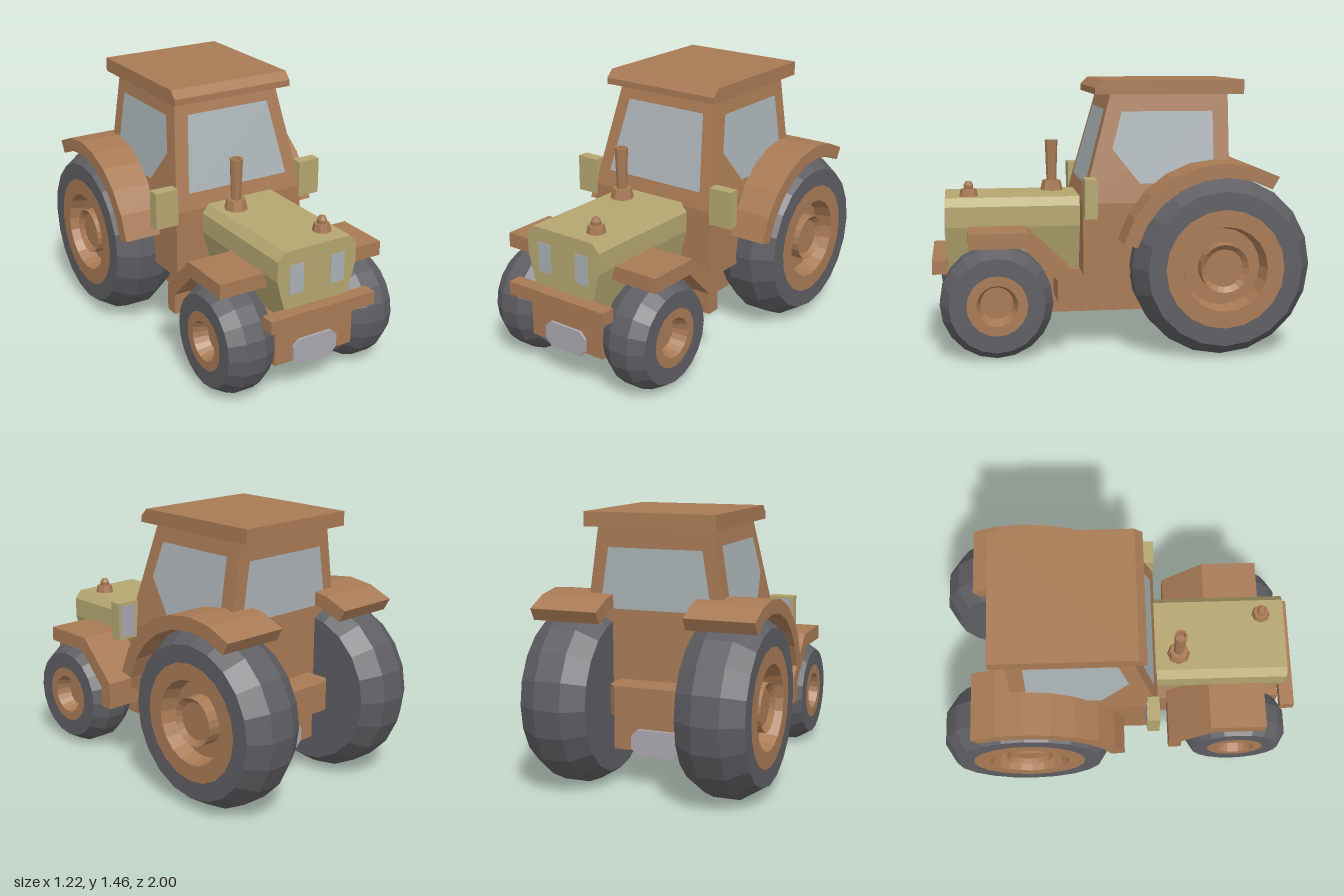
import * as THREE from 'three';
import { ConvexGeometry } from 'three/addons/geometries/ConvexGeometry.js';

const mat = (color, side = THREE.FrontSide) =>
  new THREE.MeshStandardMaterial({ color, side, flatShading: true });
const BROWN = mat(0xa87a55), OLIVE = mat(0xb4a670), TYRE = mat(0x5e5e63);
const METAL = mat(0xa9a7ae), GLASS = mat(0xa9b1b4, THREE.DoubleSide);

export function createModel() {
  const model = new THREE.Group();

  const add = (name, geometry, material) => {
    const mesh = new THREE.Mesh(geometry, material);
    mesh.name = name;
    model.add(mesh);
    return mesh;
  };
  const box = (name, x0, x1, y0, y1, z0, z1, material) =>
    add(name, new THREE.BoxGeometry(x1 - x0, y1 - y0, z1 - z0)
      .translate((x0 + x1) / 2, (y0 + y1) / 2, (z0 + z1) / 2), material);
  const shape = pts => new THREE.Shape(pts.map(p => new THREE.Vector2(p[0], p[1])));
  const extrude = (pts, depth) =>
    new THREE.ExtrudeGeometry(shape(pts), { depth, bevelEnabled: false });
  // side profile of [z, y] points running from x0 to x1
  const sidePrism = (name, pts, x0, x1, material) =>
    add(name, extrude(pts, x1 - x0).rotateY(-Math.PI / 2).translate(x1, 0, 0), material);
  // front profile of [x, y] points running from z0 to z1
  const frontPrism = (name, pts, z0, z1, material) =>
    add(name, extrude(pts, z1 - z0).translate(0, 0, z0), material);
  // flat sheet through a convex loop of [x, y, z] corners
  const sheet = (name, corners, material) => {
    const pos = [];
    for (let i = 1; i < corners.length - 1; i++) pos.push(...corners[0], ...corners[i], ...corners[i + 1]);
    const g = new THREE.BufferGeometry();
    g.setAttribute('position', new THREE.Float32BufferAttribute(pos, 3));
    g.computeVertexNormals();
    return add(name, g, material);
  };
  const turned = (pts, sides) =>
    new THREE.LatheGeometry(pts.map(p => new THREE.Vector2(p[0], p[1])), sides);
  const mirrorX = pts => [...pts, ...pts.map(([x, y]) => [-x, y]).reverse()];

  // chassis and bonnet
  box('chassis', -0.24, 0.24, 0.195, 0.43, -0.585, 0.92, BROWN);
  frontPrism('bonnet', mirrorX([[0.175, 0.43], [0.24, 0.67], [0.24, 0.78], [0.2, 0.825]]), 0.19, 0.928, OLIVE);
  box('frontBumper', -0.32, 0.32, 0.435, 0.507, 0.92, 1, BROWN);

  // number plates, front and rear
  const plate = mirrorX([[0.1, 0.175], [0.135, 0.21], [0.135, 0.28], [0.1, 0.315]]);
  frontPrism('frontPlate', plate, 0.91, 0.935, METAL);
  frontPrism('rearPlate', plate, -0.605, -0.58, METAL);

  // rear hitch block with bevelled corners
  const hitch = extrude([[-0.2, 0.58], [0.2, 0.58], [0.2, 0.71], [0.16, 0.75], [-0.16, 0.75], [-0.2, 0.71]], 0.16);
  add('rearHitch', hitch.rotateX(-Math.PI / 2).translate(0, 0.42, 0)
    .applyMatrix4(new THREE.Matrix4().makeRotationY(Math.PI))
    .rotateY(Math.PI), BROWN);

  // cabin: upright lower walls, tapering upper part
  const BREAK = 0.81, TOP = 1.38, BACK = -0.585;
  const cabX = y => 0.4 - 0.083 * Math.max(0, (y - BREAK) / (TOP - BREAK));
  const cabZ = y => 0.205 - 0.155 * Math.max(0, (y - BREAK) / (TOP - BREAK));
  const cabPoints = [];
  for (const y of [0.43, BREAK, TOP + 0.01])
    for (const s of [-1, 1])
      for (const z of [BACK, cabZ(y)]) cabPoints.push(new THREE.Vector3(s * cabX(y), y, z));
  add('cabin', new ConvexGeometry(cabPoints), BROWN);
  sidePrism('roof', [[-0.665, 1.38], [0.135, 1.38], [0.135, 1.415], [0.092, 1.457], [-0.665, 1.457]], -0.36, 0.36, BROWN);

  // windows
  const gap = 0.004;
  sheet('windscreen', [[-0.31, 0.9], [0.31, 0.9], [0.25, 1.3], [-0.25, 1.3]]
    .map(([x, y]) => [x, y, cabZ(y) + gap]), GLASS);
  sheet('rearWindow', [[0.31, 0.95], [-0.31, 0.95], [-0.26, 1.27], [0.26, 1.27]]
    .map(([x, y]) => [x, y, BACK - gap]), GLASS);
  const sideWindow = [[-0.1, 0.91], [-0.5, 0.91], [-0.5, 1.29], [-0.01, 1.29], [0.045, 1.095]];

  // wheel profiles: [radius, distance from the centre line]
  const rearTyre = [[0, 0.24], [0.41, 0.24], [0.478, 0.35], [0.478, 0.495], [0.41, 0.605], [0.315, 0.605]];
  const rearRim = [[0.315, 0.605], [0.225, 0.605], [0.205, 0.51], [0.13, 0.51], [0.128, 0.59], [0.1, 0.565], [0, 0.565]];
  const frontTyre = [[0, 0.24], [0.25, 0.24], [0.297, 0.32], [0.297, 0.43], [0.25, 0.51], [0.16, 0.51]];
  const frontRim = [[0.16, 0.51], [0.108, 0.51], [0.085, 0.43], [0, 0.43]];

  // rear mudguard arc around the rear axle
  const guard = [];
  const arc = (r, k) => {
    const a = THREE.MathUtils.degToRad(15 + 15 * k);
    return [-0.52 + r * Math.cos(a), 0.478 + r * Math.sin(a)];
  };
  for (let k = 0; k <= 7; k++) guard.push(arc(0.557, k));
  for (let k = 7; k >= 0; k--) guard.push(arc(0.482, k));
  const frontGuard = [[0.81, 0.595], [0.81, 0.675], [0.5, 0.675], [0.275, 0.455],
    [0.275, 0.305], [0.35, 0.305], [0.35, 0.42], [0.525, 0.595]];

  // paired parts
  for (const [side, s] of [['left', 1], ['right', -1]]) {
    const span = (a, b) => (s > 0 ? [a, b] : [-b, -a]);
    const wheel = (name, pts, y, z, material) =>
      add(side + name, turned(pts, 20).rotateZ(-s * Math.PI / 2).translate(0, y, z), material);
    wheel('RearTyre', rearTyre, 0.478, -0.52, TYRE);
    wheel('RearRim', rearRim, 0.478, -0.52, BROWN);
    wheel('FrontTyre', frontTyre, 0.297, 0.665, TYRE);
    wheel('FrontRim', frontRim, 0.297, 0.665, BROWN);
    sidePrism(side + 'RearMudguard', guard, ...span(0.235, 0.608), BROWN);
    sidePrism(side + 'FrontMudguard', frontGuard, ...span(0.2, 0.498), BROWN);
    sheet(side + 'Window', sideWindow.map(([z, y]) => [s * (cabX(y) + gap), y, z]), GLASS);
    box(side + 'Mirror', ...span(0.39, 0.523), 0.745, 0.95, 0.143, 0.208, OLIVE);
    box(side + 'MirrorGlass', ...span(0.415, 0.508), 0.76, 0.935, 0.139, 0.15, METAL);
    box(side + 'Headlight', ...span(0.083, 0.167), 0.585, 0.745, 0.92, 0.932, GLASS);
  }

  // exhaust stack with an open, slightly flared pipe
  add('exhaust', turned([[0.065, 0.82], [0.052, 0.88], [0.028, 0.88], [0.036, 1.108],
    [0.026, 1.108], [0.024, 1.06], [0, 1.06]], 8).translate(-0.105, 0, 0.33), BROWN);
  // filler cap
  add('fillerCap', turned([[0.052, 0.82], [0.042, 0.865], [0.024, 0.865], [0.026, 0.885],
    [0.016, 0.905], [0, 0.905]], 8).translate(0.115, 0, 0.8), BROWN);

  return model;
}
